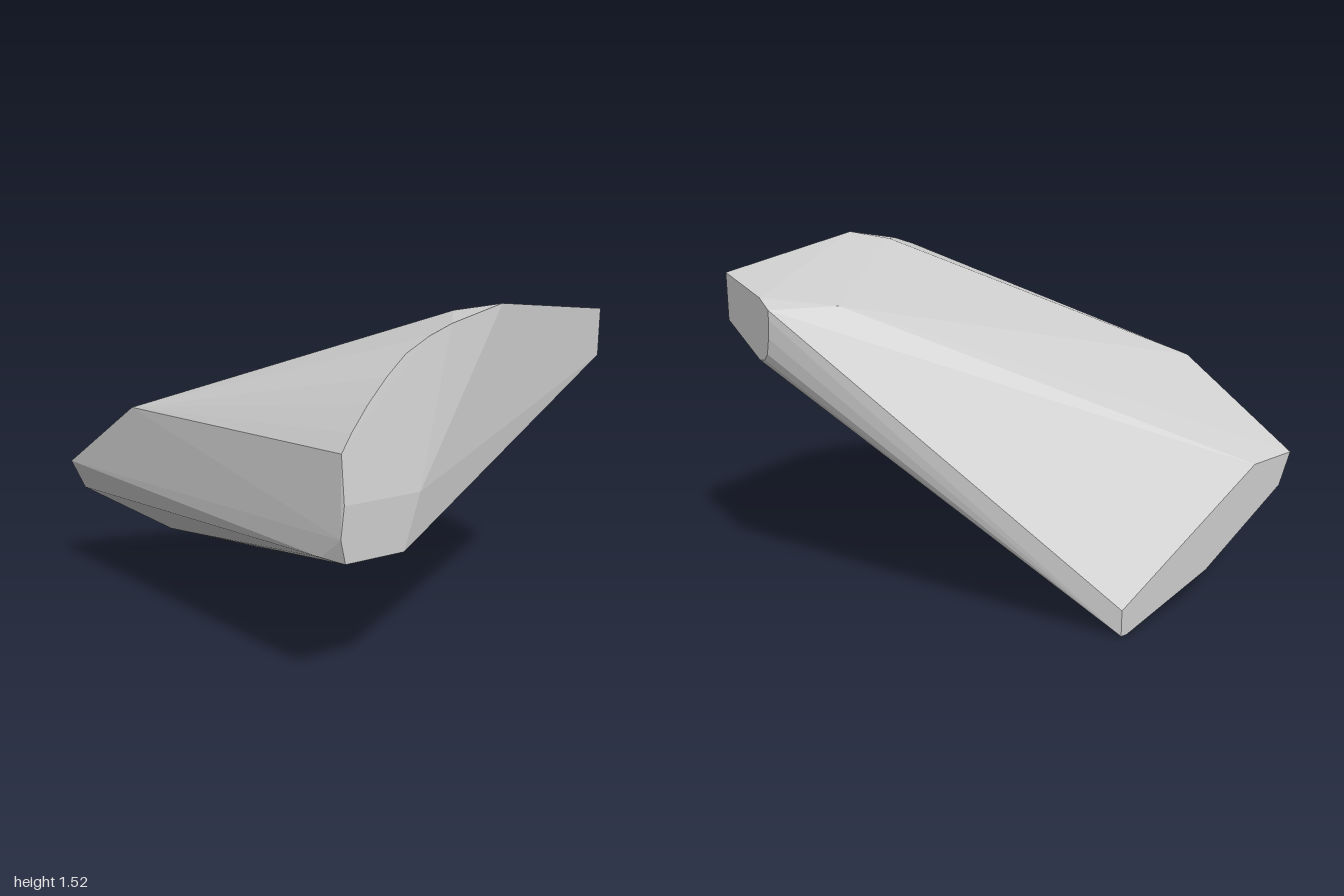
import * as THREE from 'three';
import { ConvexGeometry } from 'three/addons/geometries/ConvexGeometry.js';

// Faceted convex block spanned between four outlines.
export function createModel() {
  const points = [];
  const add = (x, y, z) => points.push(new THREE.Vector3(x, y, z));

  // Flat back face (x, y)
  for (const [x, y] of [[-1, 0.625], [-0.94, 0.48], [-0.5, 0.18], [-0.05, 0.003],
    [-0.02, 0.003], [-0.02, 0.12], [-0.77, 0.61]]) add(x, y, -0.93);
  add(-0.04, 0, -0.9);

  // Flat left end face (z, y), with a rounded rear edge
  for (const [z, y] of [[0.57, 1.42], [0.57, 1.21], [0.25, 1.09], [0.2, 1.1],
    [0.17, 1.13], [0.15, 1.2], [0.14, 1.28], [0.14, 1.32], [0.22, 1.36]]) add(1, y, z);

  // Upright lower part of the front
  for (const [x, y] of [[-0.53, 0.63], [-0.27, 0.63], [-0.2, 0.86],
    [-0.55, 0.73], [-0.535, 0.86]]) add(x, y, 0.93);

  // Curved rim of the front, leaning back towards the crown
  for (const [x, y, z] of [[-0.53, 1.05, 0.9], [-0.48, 1.12, 0.888], [-0.4, 1.215, 0.872],
    [-0.31, 1.305, 0.857], [-0.22, 1.38, 0.845], [-0.11, 1.435, 0.836],
    [0, 1.473, 0.828], [0.27, 1.525, 0.79]]) add(x, y, z);

  // Shoulder, side and roof corners
  add(-0.575, 0.63, 0.82);
  add(-0.86, 0.99, -0.4);
  add(0.72, 1.32, 0.06);
  add(0.12, 1.493, 0.67);

  const body = new THREE.Mesh(
    new ConvexGeometry(points),
    new THREE.MeshStandardMaterial({ color: 0xcccccc, flatShading: true })
  );
  body.name = 'facetedBlock';

  const group = new THREE.Group();
  group.name = 'model';
  group.add(body);
  return group;
}
